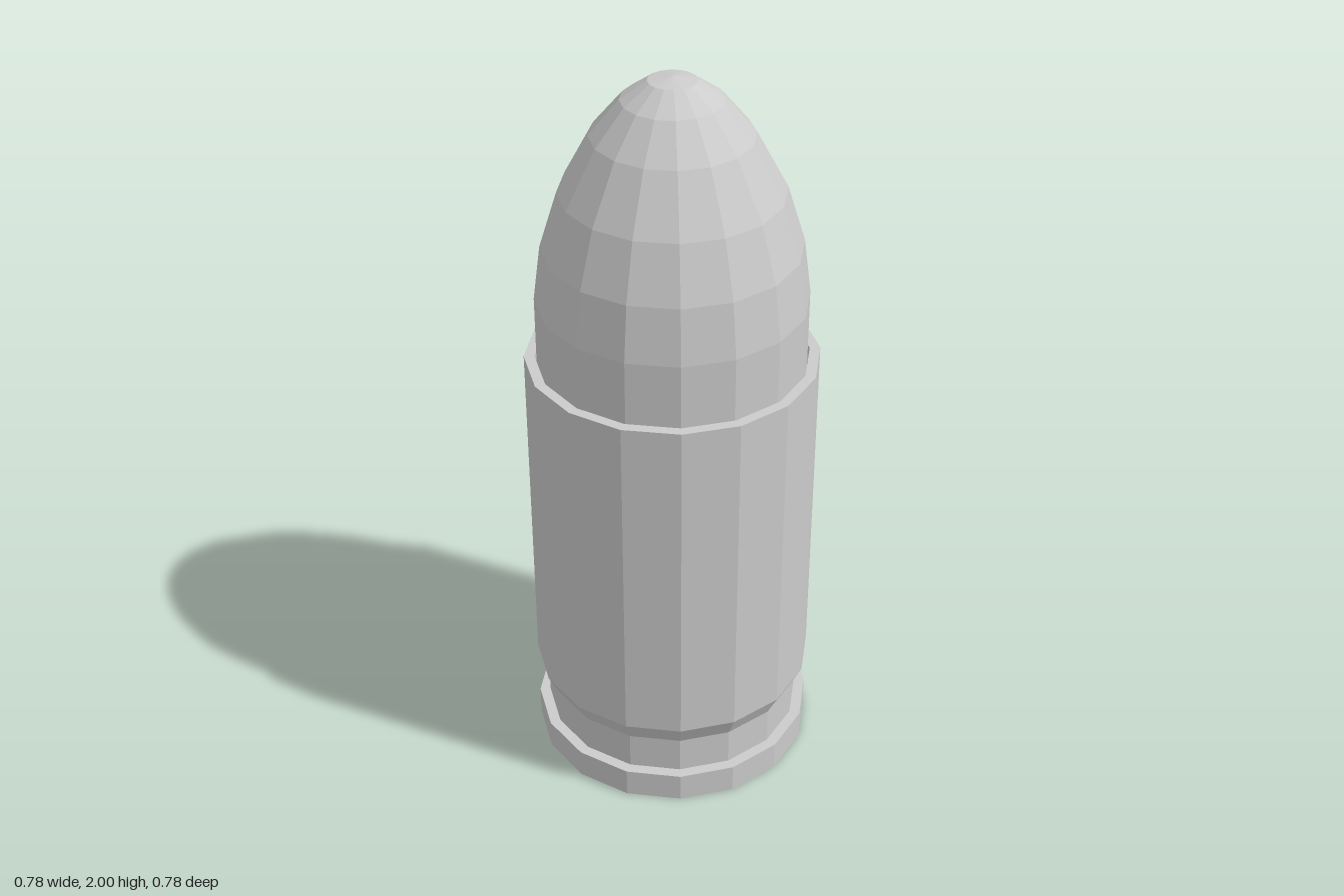
import * as THREE from 'three';

const SIDES = 16;

// Faceted turned part from [radius, height] pairs, listed bottom to top
function turned(name, profile) {
  const points = profile.map(([r, y]) => new THREE.Vector2(r, y));
  const material = new THREE.MeshStandardMaterial({ color: 0xcccccc, flatShading: true });
  const mesh = new THREE.Mesh(new THREE.LatheGeometry(points, SIDES), material);
  mesh.name = name;
  return mesh;
}

export function createModel() {
  const group = new THREE.Group();
  group.name = 'cartridge';

  // Casing: base, rim, extractor groove, bevel, wall, open mouth with a thin lip
  group.add(turned('casing', [
    [0, 0], [0.388, 0], [0.388, 0.083], [0.358, 0.083], [0.358, 0.19],
    [0.388, 0.252], [0.388, 1.228], [0.36, 1.228], [0.36, 1.15], [0.34, 1.15],
  ]));

  // Rounded tip seated in the casing mouth
  group.add(turned('tip', [
    [0.355, 1.15], [0.355, 1.4], [0.335, 1.55], [0.288, 1.7],
    [0.207, 1.85], [0.13, 1.942], [0.062, 1.99], [0, 2],
  ]));

  return group;
}
